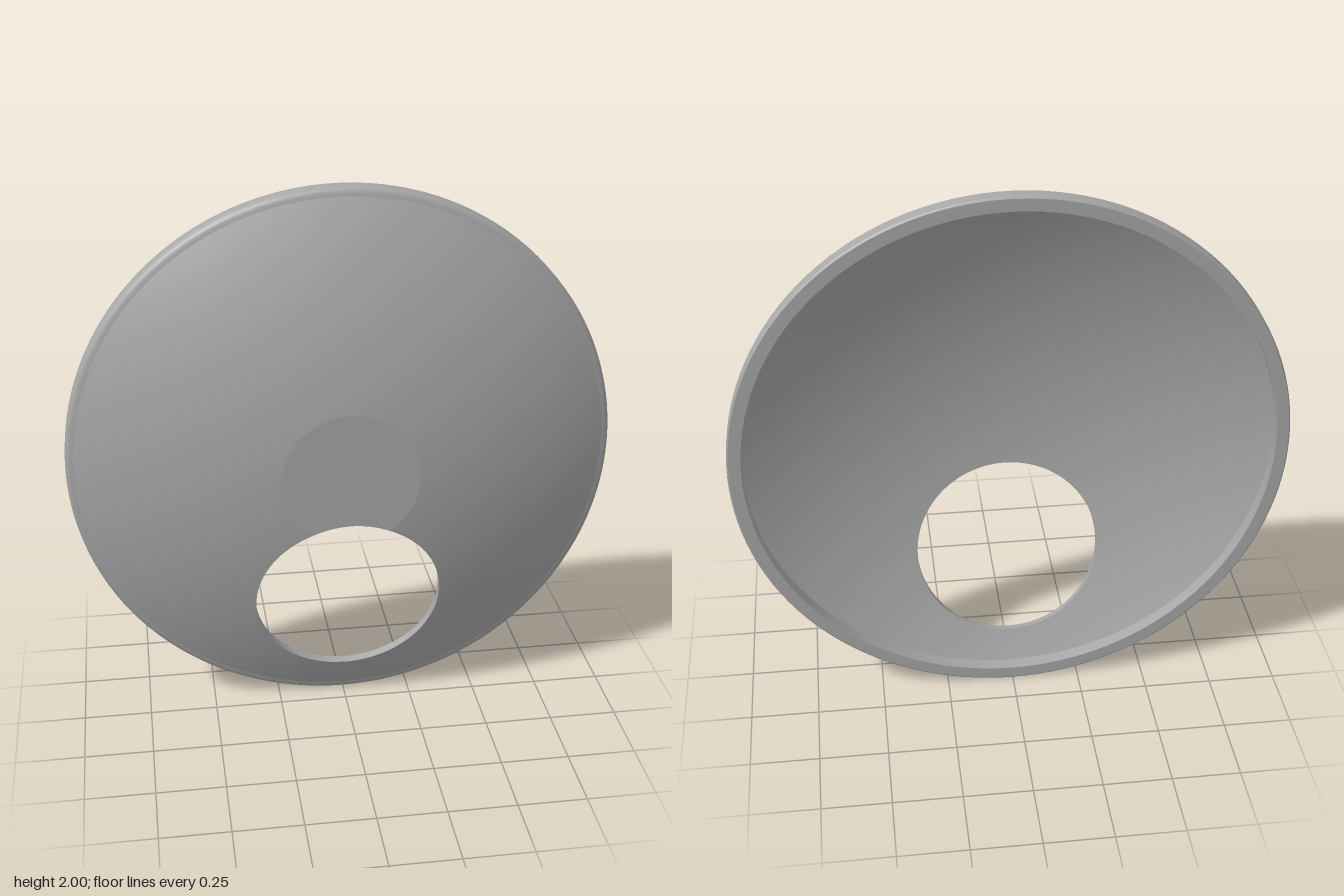
import * as THREE from 'three';

const CY = 1;                                   // disc centre height
const SPHERE_Z = -2.096, R_OUT = 2.25, R_IN = 2.22;
const FLAT_R = 0.25, FLAT_Z = 0.14;
const frontHole = { a: 0.342, b: 0.333, d: 0.513 };
const backHole = { a: 0.342, b: 0.333, d: 0.506 };

const sphereZ = (R) => (r) => SPHERE_Z + Math.sqrt(R * R - r * r);
const outerZ = (r) => (r <= FLAT_R ? FLAT_Z : sphereZ(R_OUT)(r));

// Angle from straight down at which a ring of radius r leaves the hole (0 if it misses it)
function holeAngle(r, { a, b, d }) {
  const A = 1 / (b * b) - 1 / (a * a), B = d / (b * b);
  const C = (d * d) / (b * b) + (r * r) / (a * a) - 1;
  const u = (B - Math.sqrt(B * B - A * C)) / A;
  return Math.abs(u) >= r ? 0 : Math.acos(u / r);
}

// Ring radii, packed closely near the top and bottom of the hole
function ringRadii({ b, d }, rMax) {
  const radii = [0, 0.06, 0.12, FLAT_R];
  for (let i = 0; i <= 48; i++) radii.push(d - b * Math.cos((Math.PI * i) / 48));
  for (let i = 1; i <= 4; i++) radii.push(d + b + ((rMax - d - b) * i) / 4);
  return radii.sort((p, q) => p - q);
}

// Curved sheet made of concentric arcs that stop at the hole
function sheet(radii, hole, zAt, R, side) {
  const N = 128, pos = [], nor = [], idx = [];
  radii.forEach((r, i) => {
    const start = holeAngle(r, hole);
    for (let j = 0; j <= N; j++) {
      const p = start + ((2 * Math.PI - 2 * start) * j) / N;
      const x = r * Math.sin(p), y = -r * Math.cos(p);
      pos.push(x, CY + y, zAt(r));
      const n = R ? new THREE.Vector3(x, y, Math.sqrt(R * R - r * r)).normalize() : new THREE.Vector3(0, 0, 1);
      nor.push(n.x * side, n.y * side, n.z * side);
      if (i && j < N) {
        const d = i * (N + 1) + j, a = d - N - 1;
        if (side > 0) idx.push(a, d, d + 1, a, d + 1, a + 1);
        else idx.push(a, d + 1, d, a, a + 1, d + 1);
      }
    }
  });
  const g = new THREE.BufferGeometry();
  g.setAttribute('position', new THREE.Float32BufferAttribute(pos, 3));
  g.setAttribute('normal', new THREE.Float32BufferAttribute(nor, 3));
  g.setIndex(idx);
  return g;
}

// Thin wall joining the front and back edges of the hole
function holeWall() {
  const N = 128, pos = [], idx = [];
  for (let j = 0; j <= N; j++) {
    const t = (2 * Math.PI * j) / N;
    for (const [h, zAt] of [[frontHole, outerZ], [backHole, sphereZ(R_IN)]]) {
      const x = h.a * Math.cos(t), y = h.b * Math.sin(t) - h.d;
      pos.push(x, CY + y, zAt(Math.hypot(x, y)));
    }
    if (j < N) {
      const a = 2 * j;
      idx.push(a, a + 2, a + 3, a, a + 3, a + 1);
    }
  }
  const g = new THREE.BufferGeometry();
  g.setAttribute('position', new THREE.Float32BufferAttribute(pos, 3));
  g.setIndex(idx);
  g.computeVertexNormals();
  return g;
}

// Ring turned about the disc axis from (radius, z) points
function turned(points) {
  const g = new THREE.LatheGeometry(points.map(([r, z]) => new THREE.Vector2(r, z)), 128);
  return g.rotateX(Math.PI / 2).translate(0, CY, 0);
}

export function createModel() {
  const group = new THREE.Group();
  const grey = new THREE.MeshStandardMaterial({ color: 0xa8a8a8 });
  grey.name = 'grey';
  const add = (name, geometry) => {
    const mesh = new THREE.Mesh(geometry, grey);
    mesh.name = name;
    group.add(mesh);
  };

  // Front: small flat centre inside a shallow dome
  const front = ringRadii(frontHole, 0.97);
  add('flatCentre', sheet(front.filter((r) => r <= FLAT_R), frontHole, () => FLAT_Z, 0, 1));
  add('frontDome', sheet(front.filter((r) => r >= FLAT_R), frontHole, sphereZ(R_OUT), R_OUT, 1));

  // Hollow back
  add('backBowl', sheet(ringRadii(backHole, 0.95), backHole, sphereZ(R_IN), R_IN, -1));
  add('holeWall', holeWall());

  // Rounded rim with a raised lip behind
  const edge = sphereZ(R_OUT)(0.97);
  add('outerRim', turned([[0.994, -0.14], [0.998, -0.138], [1, -0.132], [1, -0.092], [0.998, -0.082],
    [0.992, -0.074], [0.983, -0.069], [0.97, edge]]));
  add('backRim', turned([[0.95, -0.14], [0.994, -0.14]]));
  add('innerLip', turned([[0.95, sphereZ(R_IN)(0.95)], [0.95, -0.14]]));
  return group;
}
